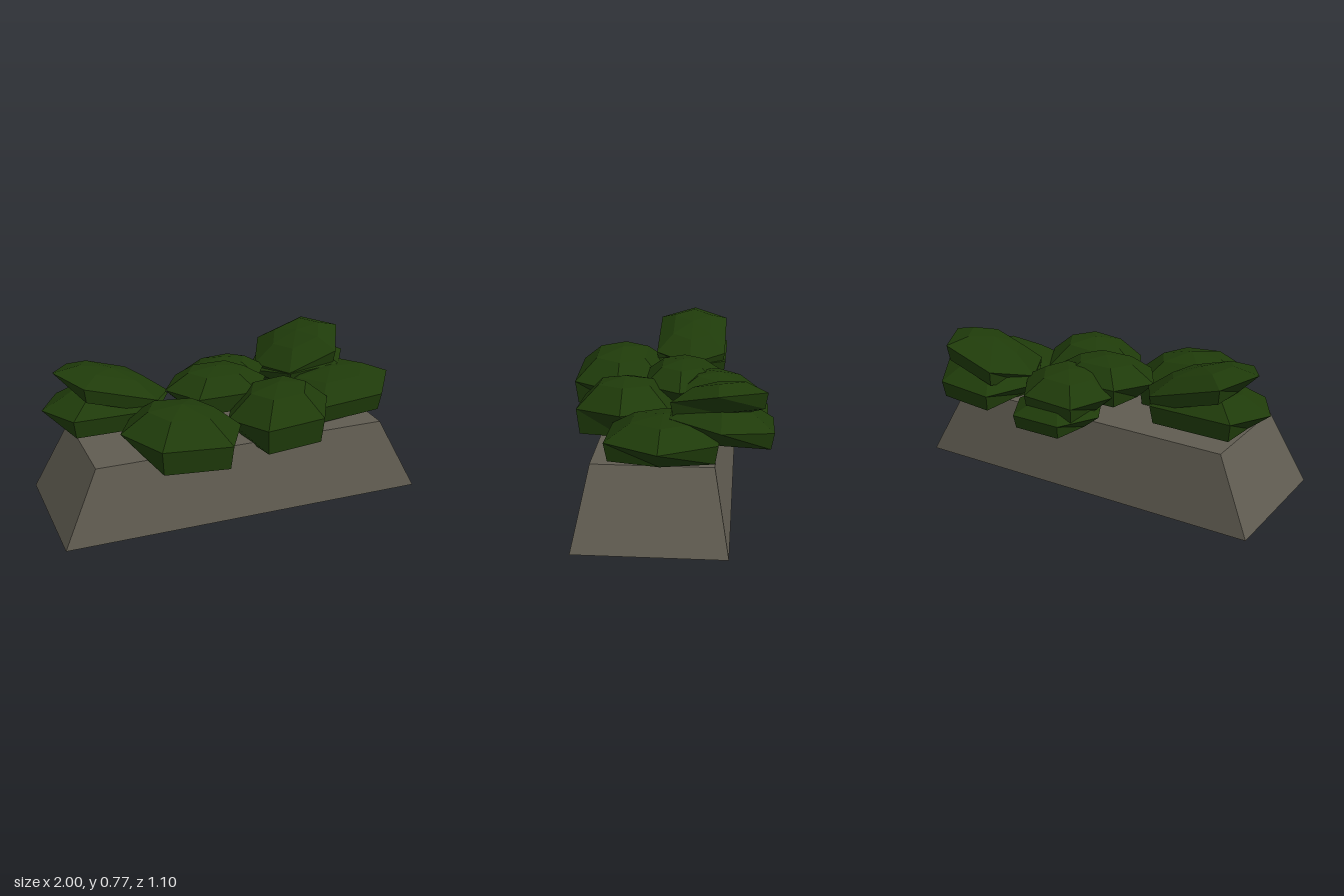
import * as THREE from 'three';

const stone = new THREE.MeshStandardMaterial({ name: 'stone', color: 0x605c51, flatShading: true });
const leaf = new THREE.MeshStandardMaterial({ name: 'leaf', color: 0x1f3b0a, flatShading: true });

// Flattened faceted blob, profile from bottom pole to top pole
const profile = [[0, -1], [0.94, -0.72], [1, 0.1], [0.55, 0.8], [0, 1]]
  .map(([r, y]) => new THREE.Vector2(r, y));

// Six-sided leaf pad with steep long sides and sharp undercut tips.
// slopeX and slopeZ tilt it by shearing; widen lengthens the long sides.
function leafPad([x, y, z], [rx, ry, rz], slopeX = 0, slopeZ = 0, widen = 1.1) {
  const lathe = new THREE.LatheGeometry(profile, 6, Math.PI / 2);
  const p = lathe.attributes.position;
  for (let i = 0; i < p.count; i++) {
    const isTip = Math.abs(p.getZ(i)) < 0.01;
    const undercut = p.getY(i) < -0.5 ? 0.7 : 1;
    const px = p.getX(i) * rx * (isTip ? undercut : widen);
    const pz = p.getZ(i) * rz / Math.cos(Math.PI / 6);
    p.setXYZ(i, px, p.getY(i) * ry + slopeX * px + slopeZ * pz, pz);
  }
  const geo = lathe.toNonIndexed();
  geo.computeVertexNormals();
  const mesh = new THREE.Mesh(geo, leaf);
  mesh.position.set(x, y, z);
  return mesh;
}

// Tapered block: the top corners are pulled inward
function taperedBase() {
  const geo = new THREE.BoxGeometry(1.96, 0.385, 0.75).toNonIndexed();
  const p = geo.attributes.position;
  for (let i = 0; i < p.count; i++) {
    if (p.getY(i) > 0) p.setXYZ(i, p.getX(i) * 0.806, p.getY(i), p.getZ(i) * 0.795);
  }
  geo.computeVertexNormals();
  const mesh = new THREE.Mesh(geo, stone);
  mesh.name = 'planterBase';
  mesh.position.set(-0.02, 0.1925, 0.025);
  return mesh;
}

export function createModel() {
  const model = new THREE.Group();
  model.name = 'planterWithShrubs';
  model.add(taperedBase());

  // Each shrub is one pad, or two pads with a notch between them
  const shrubs = {
    frontLeftShrub: [[[-0.35, 0.495, 0.295], [0.32, 0.155, 0.25], -0.08, -0.01, 1.15]],
    frontRightShrub: [[[0.215, 0.49, 0.21], [0.285, 0.165, 0.24], 0.08, 0]],
    centreShrub: [[[-0.03, 0.565, -0.07], [0.29, 0.115, 0.195], 0, 0, 1.15]],
    rightShrub: [[[0.635, 0.485, -0.02], [0.36, 0.115, 0.27], 0.08, 0, 1]],
    leftShrub: [
      [[-0.605, 0.652, -0.09], [0.305, 0.09, 0.195], -0.3, 0, 1.25],
      [[-0.64, 0.545, -0.085], [0.34, 0.115, 0.205], 0, 0, 1.3],
    ],
    backRightShrub: [
      [[0.54, 0.645, -0.285], [0.255, 0.095, 0.23], 0.34, -0.13, 1.1],
      [[0.55, 0.545, -0.3], [0.295, 0.105, 0.25], 0.08, 0.12, 1],
    ],
    backCentreShrub: [
      [[0.075, 0.54, -0.27], [0.26, 0.105, 0.2], 0.05, 0.12],
      [[0.11, 0.43, -0.32], [0.25, 0.085, 0.21]],
    ],
  };
  for (const [name, pads] of Object.entries(shrubs)) {
    const shrub = new THREE.Group();
    shrub.name = name;
    pads.forEach((pad) => shrub.add(leafPad(...pad)));
    model.add(shrub);
  }
  return model;
}
